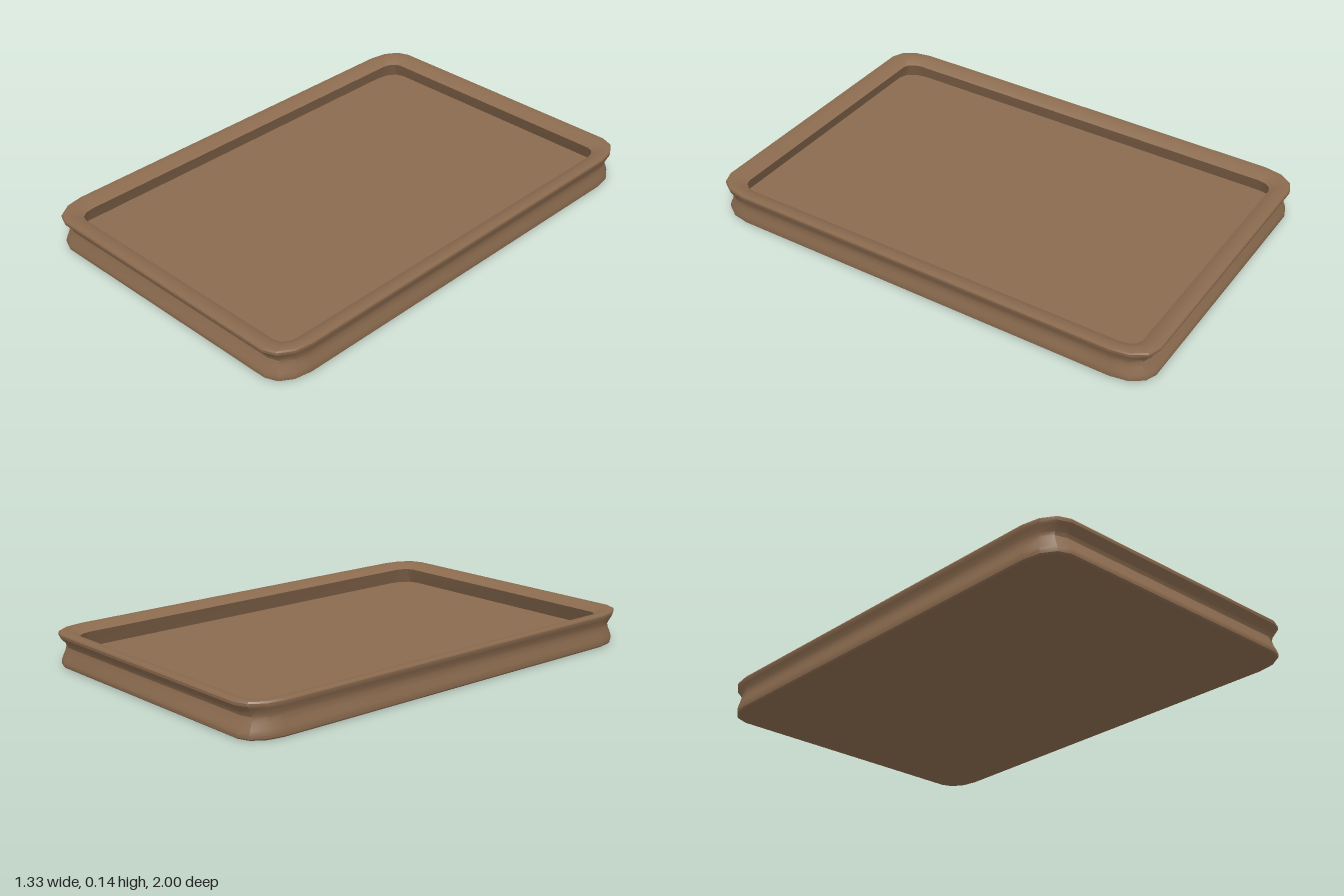
import * as THREE from 'three';
import { toCreasedNormals } from 'three/addons/utils/BufferGeometryUtils.js';

const HALF_X = 0.665, HALF_Z = 1.0, CORNER_STEPS = 3;

// Cross-section of the frame: [inset in x, inset in z, height],
// from the underside, over the rim, then under its inner lip to the floor
const PROFILE = [
  [0.013, 0.016, 0], [0.007, 0.009, 0.006], [0.005, 0.008, 0.018], [0.008, 0.014, 0.035],
  [0.014, 0.026, 0.06], [0.017, 0.032, 0.08], [0.014, 0.027, 0.095], [0.006, 0.009, 0.115],
  [0.001, 0.001, 0.125], [0, 0, 0.136], [0.003, 0.004, 0.142], [0.008, 0.01, 0.143],
  [0.036, 0.043, 0.142], [0.075, 0.082, 0.12], [0.045, 0.05, 0.05],
];

// One rounded-rectangle loop of points for a profile entry
function ring([dx, dz, y]) {
  const rx = 0.1 - 0.7 * dx, rz = 0.15 - dz;
  const points = [];
  for (let corner = 0; corner < 4; corner++) {
    const sx = corner === 0 || corner === 3 ? 1 : -1;
    const sz = corner < 2 ? 1 : -1;
    for (let i = 0; i <= CORNER_STEPS; i++) {
      const a = (corner + i / CORNER_STEPS) * Math.PI / 2;
      points.push([
        sx * (HALF_X - dx - rx) + rx * Math.cos(a), y,
        sz * (HALF_Z - dz - rz) + rz * Math.sin(a),
      ]);
    }
  }
  return points;
}

function geometryFrom(triangles) {
  const g = new THREE.BufferGeometry();
  g.setAttribute('position', new THREE.Float32BufferAttribute(triangles.flat(), 3));
  return toCreasedNormals(g, 0.5);
}

// Moulded wall: joins neighbouring loops
function wallGeometry(rings) {
  const t = [];
  for (let k = 0; k < rings.length - 1; k++) {
    const low = rings[k], high = rings[k + 1], n = low.length;
    for (let j = 0; j < n; j++) {
      const m = (j + 1) % n;
      t.push(low[j], high[j], low[m], low[m], high[j], high[m]);
    }
  }
  return geometryFrom(t);
}

// Flat panel filling a loop
function panelGeometry(loop, faceUp) {
  const t = [], centre = [0, loop[0][1], 0];
  loop.forEach((p, j) => {
    const q = loop[(j + 1) % loop.length];
    t.push(centre, ...(faceUp ? [q, p] : [p, q]));
  });
  return geometryFrom(t);
}

export function createModel() {
  const group = new THREE.Group();
  group.name = 'tray';
  const wood = new THREE.MeshStandardMaterial({ color: 0x8b6b4f });
  wood.name = 'brown wood';

  const add = (name, geometry) => {
    const mesh = new THREE.Mesh(geometry, wood);
    mesh.name = name;
    group.add(mesh);
  };

  const rings = PROFILE.map(ring);
  add('mouldedFrame', wallGeometry(rings));
  add('trayFloor', panelGeometry(rings[rings.length - 1], true));
  add('underside', panelGeometry(rings[0], false));
  return group;
}
